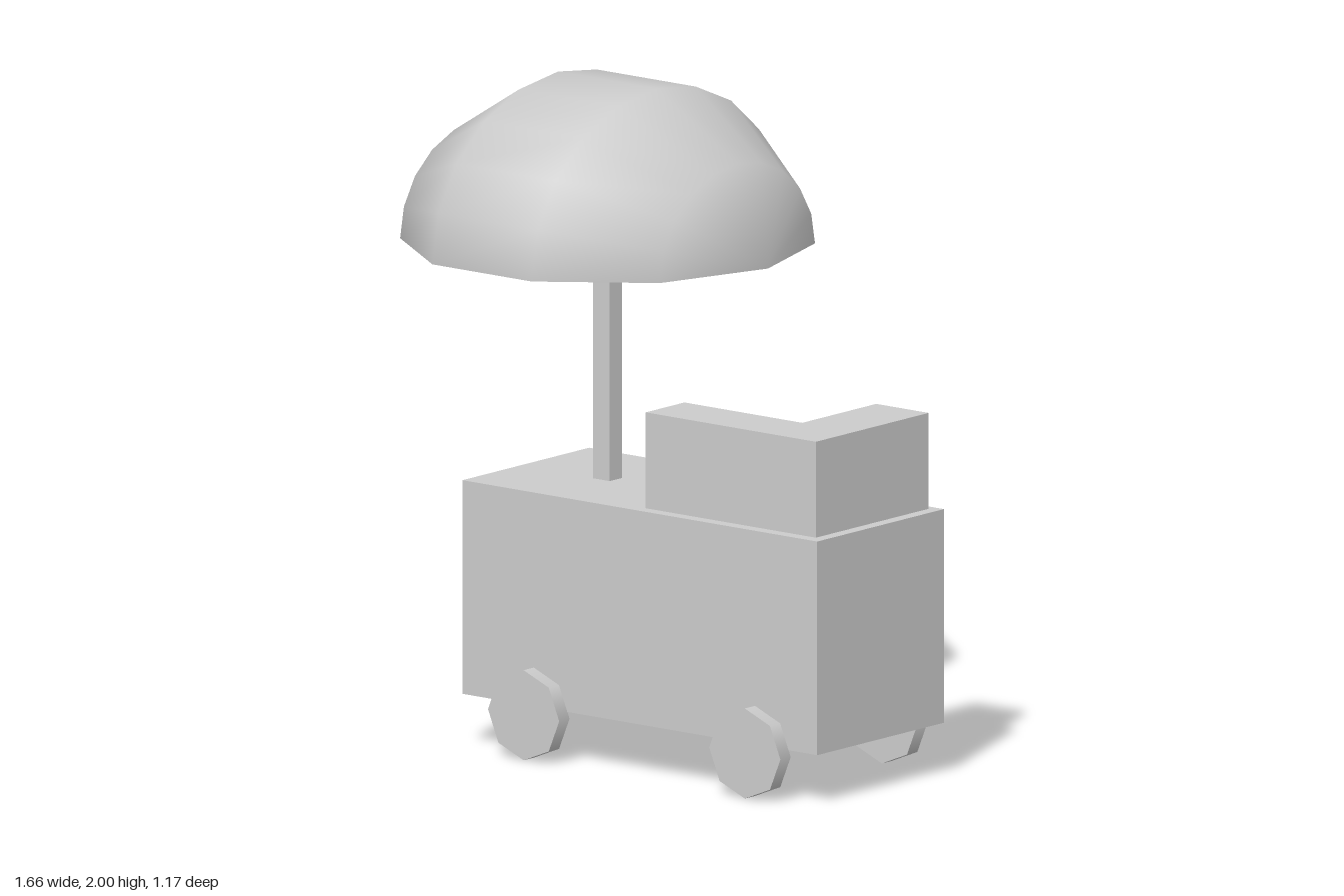
import * as THREE from 'three';

const material = new THREE.MeshStandardMaterial({ color: 0xcccccc, side: THREE.DoubleSide });

function addPart(group, name, geometry, x = 0, y = 0, z = 0) {
  const mesh = new THREE.Mesh(geometry, material);
  mesh.name = name;
  mesh.position.set(x, y, z);
  group.add(mesh);
  return mesh;
}

// Box without its bottom face (the fourth of six faces, six indices each)
function openBottomBox(width, height, depth) {
  const box = new THREE.BoxGeometry(width, height, depth);
  const index = Array.from(box.index.array);
  index.splice(18, 6);
  box.setIndex(index);
  box.clearGroups();
  return box;
}

export function createModel() {
  const model = new THREE.Group();
  model.name = 'vendorCart';

  // Hollow cart body, open underneath
  addPart(model, 'cartBody', openBottomBox(1.355, 0.645, 0.589), 0.153, 0.478, 0.007);

  // L-shaped counter on the cart top, drawn in plan (x, -z) and raised
  const plan = new THREE.Shape([
    [0.143, -0.262], [0.793, -0.262], [0.793, 0.262],
    [0.593, 0.262], [0.593, -0.082], [0.143, -0.082],
  ].map(([x, y]) => new THREE.Vector2(x, y)));
  const counter = new THREE.ExtrudeGeometry(plan, { depth: 0.29, bevelEnabled: false });
  counter.rotateX(-Math.PI / 2);
  addPart(model, 'counter', counter, 0, 0.8, 0);

  // Umbrella pole
  addPart(model, 'umbrellaPole', new THREE.BoxGeometry(0.063, 0.717, 0.058), -0.212, 1.159, 0.007);

  // Umbrella canopy: half sphere whose poles lie along x
  const canopy = new THREE.SphereGeometry(1, 10, 5, 0, Math.PI);
  canopy.rotateX(-Math.PI / 2);
  canopy.rotateY(-Math.PI / 2);
  canopy.scale(0.613, 0.51, 0.614);
  addPart(model, 'umbrellaCanopy', canopy, -0.218, 1.515, 0);

  // Four eight-sided wheels
  const wheel = new THREE.CylinderGeometry(0.136, 0.136, 0.048, 8);
  wheel.rotateX(Math.PI / 2);
  for (const [side, x] of [['Right', -0.252], ['Left', 0.593]]) {
    addPart(model, 'frontWheel' + side, wheel, x, 0.136, 0.325);
    addPart(model, 'backWheel' + side, wheel, x, 0.136, -0.312);
  }

  return model;
}
